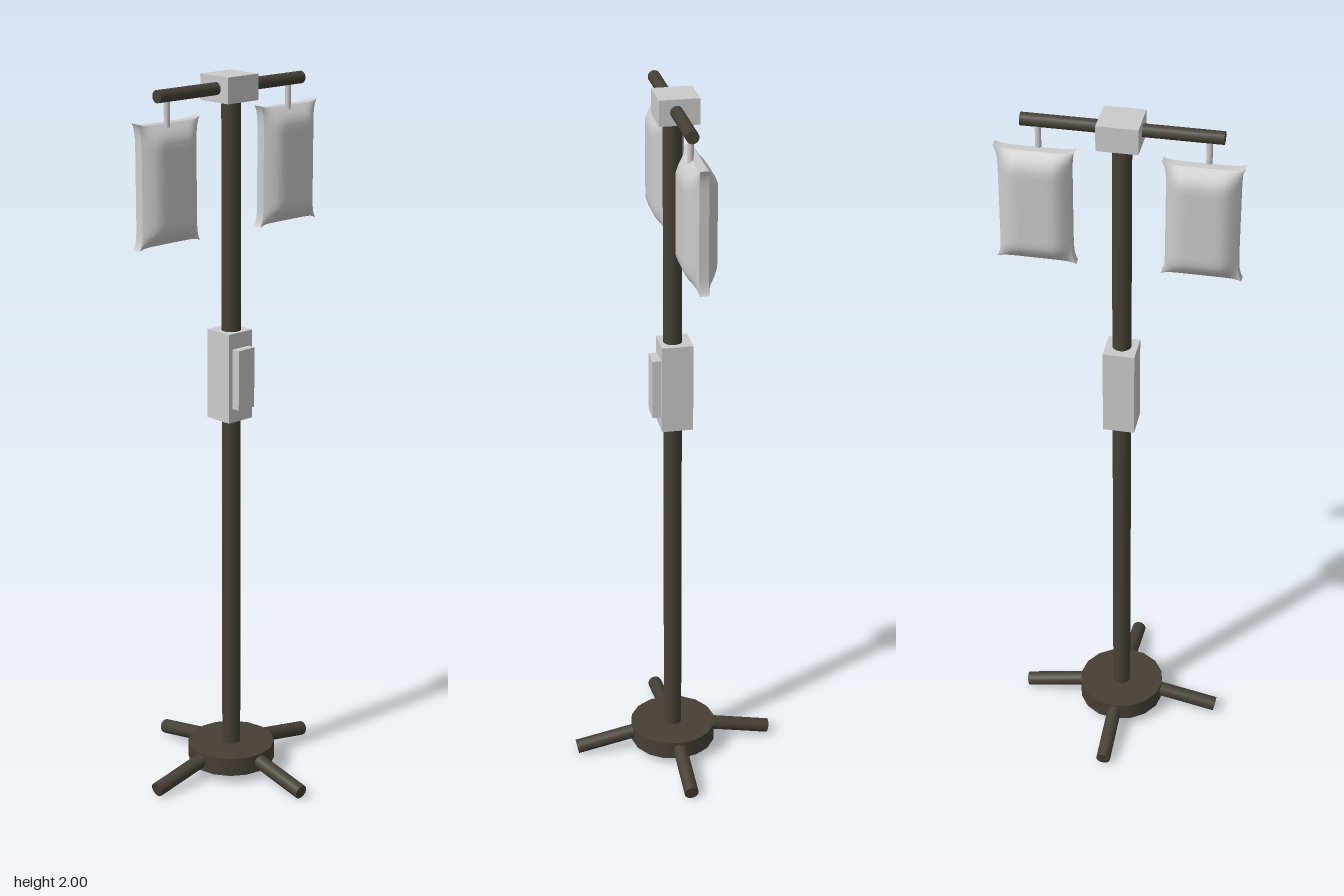
import * as THREE from 'three';

const grey = new THREE.MeshStandardMaterial({ color: 0xcccccc });
const dark = new THREE.MeshStandardMaterial({ color: 0x463f35 });

function add(parent, name, geometry, material, x, y, z) {
  const mesh = new THREE.Mesh(geometry, material);
  mesh.name = name;
  mesh.position.set(x, y, z);
  parent.add(mesh);
  return mesh;
}

// Pillow-shaped pouch: thin rim, full belly, corners pulled out into tips
function bagGeometry(w, h, depth, rim) {
  const g = new THREE.BoxGeometry(2, 2, 2, 16, 20, 1);
  const p = g.attributes.position;
  const spread = (t) => Math.sin((t * Math.PI) / 2);
  const swell = (d) => Math.sin((Math.min(1, d / 0.052) * Math.PI) / 2);
  for (let i = 0; i < p.count; i++) {
    const u = spread(p.getX(i)), v = spread(p.getY(i));
    const x = (u * w) / 2, y = (v * h) / 2;
    const belly = swell(w / 2 - Math.abs(x)) * swell(h / 2 - Math.abs(y));
    const half = (rim + (depth - rim) * belly) / 2;
    p.setXYZ(i,
      x - 0.011 * u * (1 - Math.abs(v) ** 10),
      y - 0.007 * v * (1 - Math.abs(u) ** 8),
      p.getZ(i) * half);
  }
  g.computeVertexNormals();
  return g;
}

export function createModel() {
  const model = new THREE.Group();
  model.name = 'dripStand';
  const cx = -0.004;

  // Base hub with four drooping legs
  add(model, 'baseHub', new THREE.CylinderGeometry(0.124, 0.124, 0.053, 16), dark, cx, 0.054, 0);
  const legs = new THREE.Group();
  legs.name = 'legs';
  legs.position.x = cx;
  model.add(legs);
  const inner = new THREE.Vector3(0.1, 0.059, 0), outer = new THREE.Vector3(0.287, 0.0215, 0);
  const along = outer.clone().sub(inner);
  for (let i = 0; i < 4; i++) {
    const pivot = new THREE.Group();
    pivot.name = 'leg' + (i + 1);
    pivot.rotation.y = (i * Math.PI) / 2;
    const mid = inner.clone().add(outer).multiplyScalar(0.5);
    const leg = add(pivot, 'legTube', new THREE.CylinderGeometry(0.0205, 0.0205, along.length(), 16), dark, mid.x, mid.y, 0);
    leg.rotation.z = Math.atan2(along.y, along.x) - Math.PI / 2;
    legs.add(pivot);
  }

  // Upright pole
  add(model, 'pole', new THREE.CylinderGeometry(0.026, 0.026, 1.88, 16), dark, cx, 1.0, 0);

  // Pump box with raised front panel
  add(model, 'pumpBox', new THREE.BoxGeometry(0.086, 0.25, 0.086), grey, cx, 1.185, -0.006);
  add(model, 'pumpPanel', new THREE.BoxGeometry(0.058, 0.168, 0.04), grey, cx, 1.183, 0.041);

  // Top block and crossbar
  add(model, 'topBlock', new THREE.BoxGeometry(0.108, 0.069, 0.107), grey, cx + 0.001, 1.9655, -0.008);
  const bar = add(model, 'crossbar', new THREE.CylinderGeometry(0.017, 0.017, 0.516, 16), dark, cx, 1.967, 0);
  bar.rotation.z = Math.PI / 2;

  // Hangers and bags
  const bag = bagGeometry(0.21, 0.328, 0.087, 0.025);
  for (const [side, s] of [['left', 1], ['right', -1]]) {
    add(model, side + 'Hanger', new THREE.CylinderGeometry(0.008, 0.008, 0.085, 12), grey, cx + s * 0.217 - 0.004, 1.92, -0.004);
    add(model, side + 'Bag', bag, grey, s * 0.2155, 1.738, -0.0185);
  }
  return model;
}
